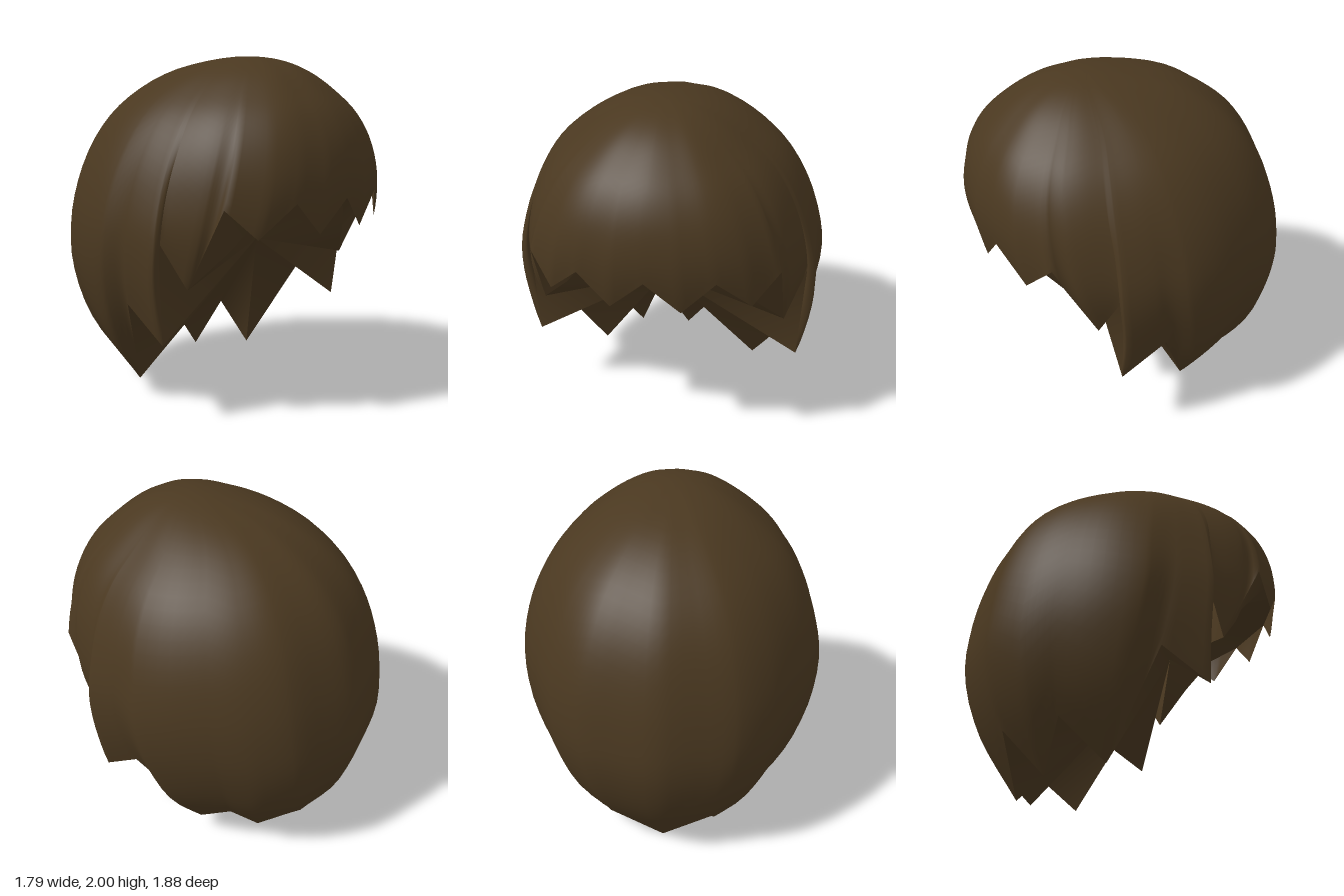
import * as THREE from 'three';
import { mergeVertices } from 'three/addons/utils/BufferGeometryUtils.js';

const material = new THREE.MeshStandardMaterial({ color: 0x4a3820, roughness: 0.9, side: THREE.DoubleSide });

// Head outline sampled at y = 2 - 2u^2 for u = 0, 0.1 ... 1
const halfWidth = [0, 0.17, 0.33, 0.49, 0.65, 0.77, 0.855, 0.9, 0.865, 0.735, 0.45];
const frontZ = [0.22, 0.41, 0.57, 0.71, 0.84, 0.92, 0.94, 0.88, 0.74, 0.6, 0.45];
const backZ = [0.22, 0, -0.265, -0.47, -0.64, -0.77, -0.86, -0.92, -0.935, -0.835, -0.6];
const middleZ = [0.22, 0.21, 0.16, 0.11, 0.09, 0.07, 0.04, 0.02, -0.03, -0.09, -0.15];
// Slight lobes around the head, every 15 degrees from front to back
const lobes = [1, 1, 1.03, 1.02, 1.01, 0.98, 1, 1, 0.99, 1, 1.01, 0.98, 1];

// Smooth lookup in a table at a fractional index
function sample(table, f) {
  const last = table.length - 1;
  const i = Math.min(last - 1, Math.floor(f)), t = f - i;
  const b = table[i], c = table[i + 1];
  const a = i > 0 ? table[i - 1] : 2 * b - c;
  const d = i < last - 1 ? table[i + 2] : 2 * c - b;
  return b + 0.5 * t * (c - a + t * (2 * a - 5 * b + 4 * c - d + t * (3 * (b - c) + d - a)));
}

// Point of the head surface at an angle (0 = front) and height
function surface(angle, y) {
  const u = Math.sqrt(Math.max(0, 2 - y) / 2) * 10;
  const s = Math.sin(angle), c = Math.cos(angle);
  const lobe = sample(lobes, Math.acos(c) / Math.PI * 12);
  const mid = sample(middleZ, u);
  const depth = Math.abs(sample(c > 0 ? frontZ : backZ, u) - mid);
  return new THREE.Vector3(lobe * s * sample(halfWidth, u), y, mid + lobe * c * depth);
}

const vec = (a) => new THREE.Vector3(...a);
const mirrored = (p) => new THREE.Vector3(-p.x, p.y, p.z);

// Jagged hem from front middle to back middle: notches and tips alternate
const half = [
  [0, 1.24, 0.93], [0.19, 1.06, 0.89], [0.37, 1.24, 0.87], [0.55, 1.06, 0.76],
  [0.69, 1.22, 0.65], [0.71, 0.77, 0.41], [0.82, 1.04, 0.3], [0.79, 0.46, 0.3],
  [0.8, 0.65, 0.04], [0.5, 0.09, -0.19], [0.53, 0.32, -0.45], [0.31, 0.06, -0.49],
  [0.3, 0.3, -0.72], [0, 0, -0.6],
].map(vec);
const rim = [...half, ...half.slice(1, -1).reverse().map(mirrored)];

// Angle at which the column above each hem point leaves the crown
const halfAngles = [0, 0.21, 0.42, 0.63, 0.85, 0.97, 1.23, 1.29, 1.48, 1.66, 2.13, 2.37, 2.66, Math.PI];
const angles = [...halfAngles, ...halfAngles.slice(0, -1).reverse().map((a) => 2 * Math.PI - a)];

function makeMesh(name, points, index) {
  let geometry = new THREE.BufferGeometry().setFromPoints(points);
  geometry.setIndex(index);
  geometry = mergeVertices(geometry, 1e-4);
  geometry.computeVertexNormals();
  const mesh = new THREE.Mesh(geometry, material);
  mesh.name = name;
  return mesh;
}

// Outer hair: columns run from the crown and bend to meet the hem
function outerHair() {
  const points = [], index = [], split = 6, steps = 28, n = steps + 1;
  rim.forEach((p, k) => {
    const next = rim[(k + 1) % rim.length];
    for (let s = 0; s < split; s++) {
      const end = p.clone().lerp(next, s / split);
      const angle = THREE.MathUtils.lerp(angles[k], angles[k + 1], s / split);
      const shift = end.clone().sub(surface(angle, end.y));
      for (let j = 0; j <= steps; j++) {
        const t = j / steps;
        const y = 2 - (2 - end.y) * (1 - Math.cos(t * Math.PI / 2));
        points.push(surface(angle, y).addScaledVector(shift, t ** 4));
      }
    }
  });
  const columns = rim.length * split;
  for (let i = 0; i < columns; i++) {
    for (let j = 0; j < steps; j++) {
      const a = i * n + j, b = ((i + 1) % columns) * n + j;
      if (j > 0) index.push(a, a + 1, b);
      index.push(a + 1, b + 1, b);
    }
  }
  return makeMesh('outerHair', points, index);
}

// Smooth fan of triangles from the inner point to a row of edge points
const apex = new THREE.Vector3(0, 0.94, 0.3);
function makeFan(name, edge) {
  const index = [];
  for (let i = 1; i < edge.length; i++) index.push(0, i + 1, i);
  return makeMesh(name, [apex, ...edge], index);
}

export function createModel() {
  const group = new THREE.Group();
  group.name = 'hair';
  group.add(outerHair());

  // Underside: two side folds and the nape, creased along the spokes
  for (const [from, to] of [[7, 9], [9, 17], [17, 19]]) {
    group.add(makeFan('innerFold', rim.slice(from, to + 1)));
  }

  // Sheet behind the fringe, running smoothly into the front side folds
  const bothSides = (row) => [...row.slice(1).reverse().map(mirrored), ...row];
  const browEdge = bothSides([
    [0, 1.27, 0.64], [0.2, 1.25, 0.65], [0.34, 1.19, 0.65],
    [0.43, 1.1, 0.62], [0.53, 0.97, 0.55], [0.71, 0.77, 0.41],
  ].map(vec));
  group.add(makeFan('browSheet', [...rim.slice(19, 21), ...browEdge, ...rim.slice(6, 8)]));

  // Lining from the sheet to the fringe notches; the fringe tips hang free
  const between = (a, b) => rim[a].clone().lerp(rim[b], 0.5);
  const fringeEdge = bothSides([rim[0], between(0, 2), rim[2], between(2, 4), rim[4], rim[5]]);
  const lining = [];
  const n = browEdge.length;
  for (let i = 0; i < n - 1; i++) {
    lining.push(i, i + 1, n + i, i + 1, n + i + 1, n + i);
  }
  group.add(makeMesh('fringeLining', [...browEdge, ...fringeEdge], lining));

  return group;
}
